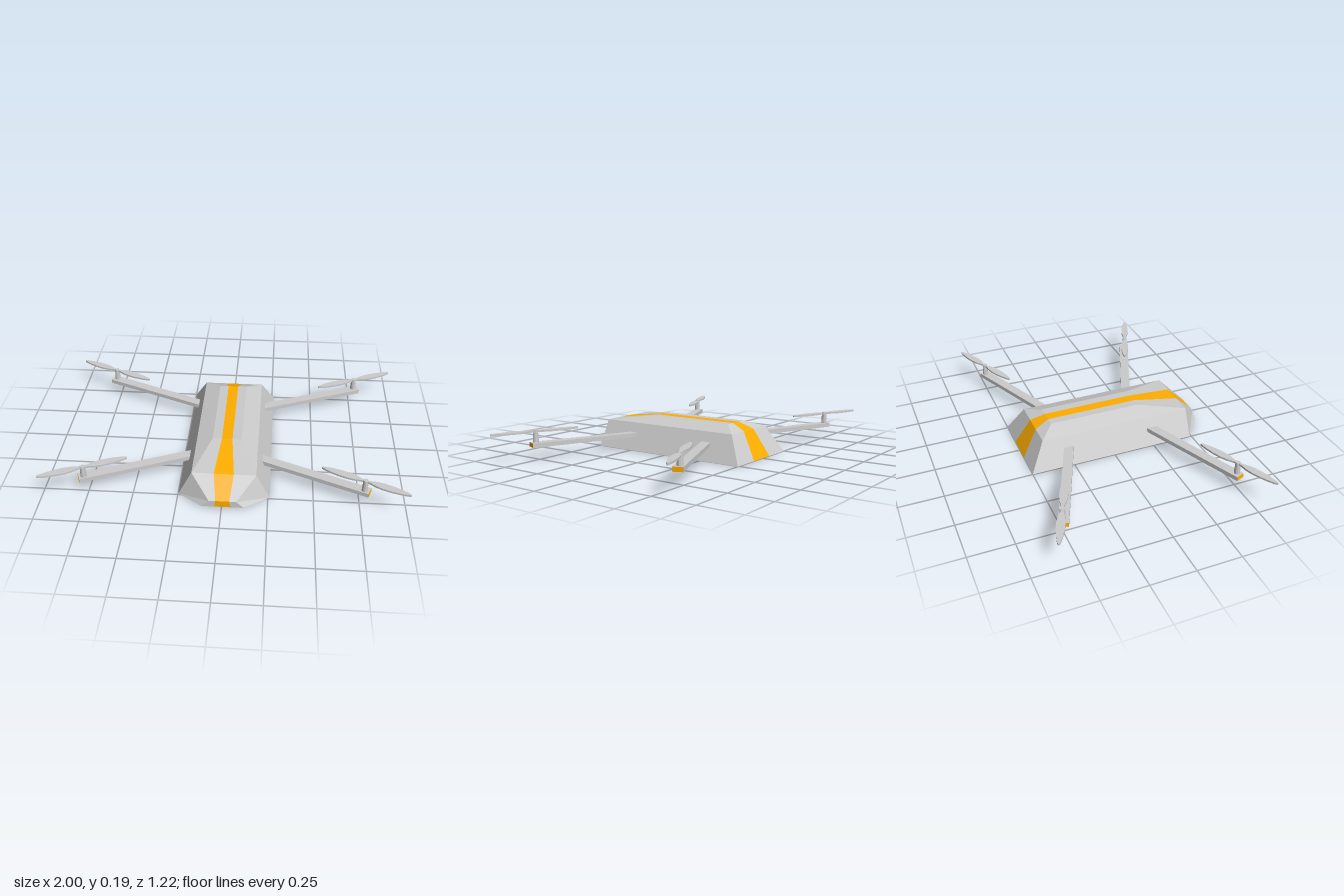
import * as THREE from 'three';

const mat = (color) => new THREE.MeshStandardMaterial({ color, flatShading: true });
const grey = mat(0xcccccc);
const orange = mat(0xffae00);

function addMesh(parent, name, geometry, material) {
  const mesh = new THREE.Mesh(geometry, material);
  mesh.name = name;
  parent.add(mesh);
  return mesh;
}

// Flat facets from polygons, each a counter-clockwise list of corners
function facets(polygons) {
  const pos = [];
  for (const p of polygons)
    for (let i = 1; i < p.length - 1; i++) pos.push(...p[0], ...p[i], ...p[i + 1]);
  const g = new THREE.BufferGeometry();
  g.setAttribute('position', new THREE.Float32BufferAttribute(pos, 3));
  g.computeVertexNormals();
  return g;
}

// Horizontal plate: outline points are [x, z], bottom at y0
function plate(points, y0, height) {
  const shape = new THREE.Shape(points.map(([x, z]) => new THREE.Vector2(x, -z)));
  return new THREE.ExtrudeGeometry(shape, { depth: height, bevelEnabled: false })
    .rotateX(-Math.PI / 2)
    .translate(0, y0, 0);
}

// Faceted hull: crosswise edges from the rear bottom, over the roof, round the nose
function createBody() {
  const body = new THREE.Group();
  body.name = 'body';
  // [z, y, half width, half stripe width]
  const edges = [
    [-0.5, 0, 0.254, 0.085],
    [-0.41, 0.155, 0.177, 0.052],
    [-0.325, 0.19, 0.082, 0.03],
    [0.22, 0.19, 0.082, 0.03],
    [0.49, 0.155, 0.177, 0.055],
    [0.6, 0.055, 0.075, 0.038],
    [0.6, 0.015, 0.115, 0.045],
    [0.49, 0, 0.254, 0.085],
  ];
  const at = (i, x) => [x, edges[i][1], edges[i][0]];
  const shell = [], stripe = [];
  edges.forEach((a, i) => {
    const j = (i + 1) % edges.length, b = edges[j];
    stripe.push([at(i, -a[3]), at(j, -b[3]), at(j, b[3]), at(i, a[3])]);
    shell.push([at(i, a[3]), at(j, b[3]), at(j, b[2]), at(i, a[2])]);
    shell.push([at(i, -a[2]), at(j, -b[2]), at(j, -b[3]), at(i, -a[3])]);
  });
  // Flanks, roof slopes and nose cheeks
  for (const face of [[0, 1, 4, 7], [1, 2, 3, 4], [4, 5, 7], [5, 6, 7]]) {
    shell.push(face.map((i) => at(i, edges[i][2])));
    shell.push(face.map((i) => at(i, -edges[i][2])).reverse());
  }
  addMesh(body, 'hull', facets(shell), grey);
  addMesh(body, 'stripe', facets(stripe), orange);
  body.position.x = 0.006;
  return body;
}

// Two-leaf blade outline, lying along x
function bladeGeometry() {
  const side = [[0, 0.006], [0.025, 0.008], [0.06, 0.018], [0.1, 0.023],
    [0.15, 0.022], [0.2, 0.016], [0.235, 0.009], [0.25, 0.003]];
  const upper = [...side.slice(1).reverse().map(([x, w]) => [-x, w]), ...side];
  const lower = upper.map(([x, w]) => [x, -w]).reverse();
  return plate([...upper, ...lower], 0, 0.011);
}

// One arm with its end cap, motor and propeller; sx and sz pick the corner
function createArm(sx, sz) {
  const arm = new THREE.Group();
  arm.name = (sz > 0 ? 'front' : 'rear') + (sx > 0 ? 'Left' : 'Right') + 'Arm';
  const angle = 0.39, c = Math.cos(angle), s = Math.sin(angle), w = 0.0275;
  const end = [0.798, 0.506];
  const beam = [
    [0.205, 0.26 - w / c], [end[0] + s * w, end[1] - c * w],
    [end[0] - s * w, end[1] + c * w], [0.205, 0.26 + w / c],
  ].map(([x, z]) => [sx * x, sz * z]);
  addMesh(arm, 'beam', plate(beam, 0.075, 0.025), grey);

  const cap = addMesh(arm, 'endCap', new THREE.BoxGeometry(0.002, 0.025, 2 * w), orange);
  cap.position.set(sx * end[0], 0.0875, sz * end[1]);
  cap.rotation.y = -Math.atan2(sz * s, sx * c);

  const motor = addMesh(arm, 'motor', new THREE.CylinderGeometry(0.014, 0.017, 0.072, 10), grey);
  motor.position.set(sx * 0.77, 0.134, sz * 0.5);

  const propeller = addMesh(arm, 'propeller', bladeGeometry(), grey);
  propeller.position.set(sx * 0.77, 0.157, sz * 0.5);
  propeller.rotation.y = -Math.atan2(sz * 0.1, sx * 0.23);

  arm.position.z = sx * 0.006;
  return arm;
}

export function createModel() {
  const model = new THREE.Group();
  model.name = 'quadcopter';
  model.add(createBody());
  for (const sx of [-1, 1]) for (const sz of [-1, 1]) model.add(createArm(sx, sz));
  return model;
}
